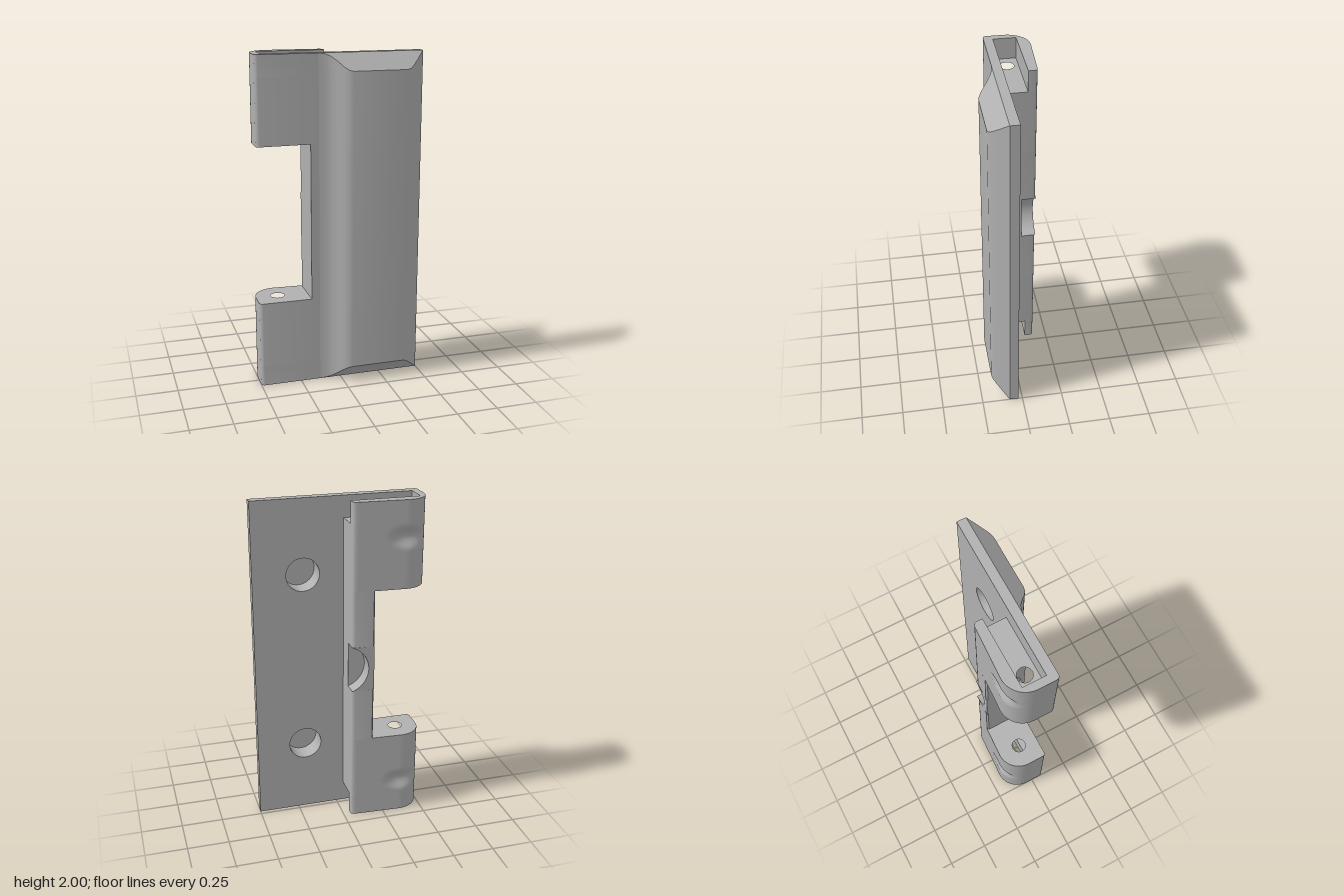
import * as THREE from 'three';
import { toCreasedNormals } from 'three/addons/utils/BufferGeometryUtils.js';

const grey = new THREE.MeshStandardMaterial({ color: 0xb0b0b0 });
grey.name = 'plain grey';
const greyInside = grey.clone();
greyInside.side = THREE.DoubleSide;

const FRONT = 0.08, PLATE_BACK = 0.025, EDGE = -0.045, BAR = -0.18;

// Depth of the gently sloping back face, measured away from the front
const backDepth = (x) => 0.18 - (x + 0.365) * 0.052;

function add(group, name, geometry, material = grey) {
  const mesh = new THREE.Mesh(geometry, material);
  mesh.name = name;
  group.add(mesh);
  return mesh;
}

// Extrude a plan outline (x, -z) upwards from y0 to y1
function upright(shape, y0, y1, steps = 1) {
  const g = new THREE.ExtrudeGeometry(shape, { depth: y1 - y0, steps, bevelEnabled: false, curveSegments: 32 });
  return g.rotateX(-Math.PI / 2).translate(0, y0, 0);
}

// Rounded outer back of a knuckle: from the left wall round to the right edge
function knuckleBack() {
  const pts = [];
  for (let i = 0; i <= 14; i++) {
    const a = Math.PI - (i / 14) * Math.PI / 2;
    pts.push([-0.365 + 0.135 * Math.cos(a), 0.045 + 0.135 * Math.sin(a)]);
  }
  for (let i = 1; i <= 18; i++) {
    const x = -0.365 + (i / 18) * 0.3;
    pts.push([x, backDepth(x)]);
  }
  pts.push([-0.054, 0.161], [-0.047, 0.154], [EDGE, 0.144]);
  return pts;
}

// Left front corner, slightly rounded
const frontCorner = [[-0.48, -FRONT], [-0.491, -0.077], [-0.497, -0.071], [-0.5, -0.06]];

function outline(points) {
  return new THREE.Shape(points.map(([x, y]) => new THREE.Vector2(x, y)));
}

// Shallow thumb-shaped hollow in the back of a knuckle
function dent(geometry, cy) {
  const p = geometry.attributes.position;
  for (let i = 0; i < p.count; i++) {
    if (p.getZ(i) > -0.08) continue;
    const d = ((p.getX(i) + 0.37) / 0.13) ** 2 + ((p.getY(i) - cy) / 0.075) ** 2;
    if (d < 1) p.setZ(i, p.getZ(i) + 0.028 * (1 - d) ** 2);
  }
  return geometry;
}

// Raised front pad: a profile across x, cut off at 45 degrees at both ends
function padGeometry() {
  const profile = [
    [-0.13, 0.08], [-0.09, 0.086], [-0.06, 0.1], [-0.03, 0.125], [0, 0.155], [0.025, 0.172], [0.05, 0.178],
    [0.37, 0.178], [0.395, 0.172], [0.418, 0.155], [0.452, 0.125], [0.478, 0.1], [0.493, 0.086], [0.5, 0.08],
  ];
  const ends = profile.slice(0, 7).map(([, z]) => z - FRONT);
  const rows = [...ends, ...ends.map((e) => 2 - e).reverse()];
  const n = profile.length;
  const pos = [], index = [];
  for (const y of rows) {
    const e = Math.min(y, 2 - y);
    for (const [x, z] of profile) pos.push(x, y, Math.min(z, FRONT + e));
  }
  for (let j = 0; j < rows.length - 1; j++) {
    for (let i = 0; i < n - 1; i++) {
      const a = j * n + i, b = a + 1, c = a + n + 1, d = a + n;
      // Quads are split along the mitre line of the nearest corner
      if ((i < n / 2) === (j < rows.length / 2)) index.push(a, b, c, a, c, d);
      else index.push(a, b, d, b, c, d);
    }
  }
  const g = new THREE.BufferGeometry();
  g.setAttribute('position', new THREE.Float32BufferAttribute(pos, 3));
  g.setIndex(index);
  return toCreasedNormals(g, 0.6);
}

export function createModel() {
  const model = new THREE.Group();
  model.name = 'hinge leaf';
  const screwHeights = [0.45, 1.55];

  // Flat leaf plate with two screw holes
  const plate = outline([[EDGE, 0], [0.5, 0], [0.5, 2], [EDGE, 2]]);
  for (const y of screwHeights) plate.holes.push(new THREE.Path().absarc(0.2, y, 0.1, 0, Math.PI * 2, true));
  const plateGeo = new THREE.ExtrudeGeometry(plate, { depth: FRONT - PLATE_BACK, bevelEnabled: false, curveSegments: 24 });
  add(model, 'leafPlate', toCreasedNormals(plateGeo.translate(0, 0, PLATE_BACK), 0.6));
  add(model, 'frontPad', padGeometry());

  // Blind screw holes opening at the back
  for (const y of screwHeights) {
    const wall = new THREE.CylinderGeometry(0.1, 0.1, 0.125, 48, 1, true).rotateX(Math.PI / 2);
    add(model, 'screwHoleWall', wall, greyInside).position.set(0.2, y, 0.0875);
    const floor = new THREE.CircleGeometry(0.1, 48).rotateY(Math.PI);
    add(model, 'screwHoleFloor', floor).position.set(0.2, y, 0.15);
  }

  // Knuckles with pin hole, each with an open pocket at its outer end
  const solid = outline([...frontCorner, ...knuckleBack(), [EDGE, -FRONT]]);
  solid.holes.push(new THREE.Path().absarc(-0.365, 0.042, 0.042, 0, Math.PI * 2, true));
  const collar = outline([
    ...frontCorner, ...knuckleBack(), [EDGE, 0.11], [-0.455, 0.11],
    [-0.455, -PLATE_BACK], [EDGE, -PLATE_BACK], [EDGE, -FRONT],
  ]);
  const knuckles = [
    { name: 'lower', pocket: [0, 0.13], body: [0.13, 0.53], hollow: 0.215 },
    { name: 'upper', pocket: [1.87, 2], body: [1.48, 1.87], hollow: 1.785 },
  ];
  for (const k of knuckles) {
    add(model, k.name + 'Knuckle', toCreasedNormals(dent(upright(solid, ...k.body, 32), k.hollow), 0.6));
    add(model, k.name + 'PocketWall', toCreasedNormals(upright(collar, ...k.pocket), 0.6));
  }

  // Spine joining the knuckles, with a round clearance cut halfway up
  const spine = outline([
    [BAR, -FRONT], [BAR, 0.16], [-0.172, 0.17], [-0.065, 0.1644],
    [-0.054, 0.161], [-0.047, 0.154], [EDGE, 0.144], [EDGE, -FRONT],
  ]);
  const r = 0.146, half = Math.acos(-EDGE / r), h = r * Math.sin(half);
  for (const [y0, y1] of [[0.53, 1 - h], [1 + h, 1.48]]) {
    add(model, 'spine', toCreasedNormals(upright(spine, y0, y1), 0.6));
  }
  const core = new THREE.BoxGeometry(EDGE - BAR, 2 * h, FRONT + 0.08);
  add(model, 'spineCore', core).position.set((EDGE + BAR) / 2, 1, 0);
  const bite = new THREE.Shape();
  bite.moveTo(BAR, 1 - h);
  bite.lineTo(EDGE, 1 - h);
  bite.absarc(0, 1, r, -(Math.PI - half), -(Math.PI + half), true);
  bite.lineTo(BAR, 1 + h);
  const biteGeo = new THREE.ExtrudeGeometry(bite, { depth: 0.088, bevelEnabled: false, curveSegments: 24 });
  add(model, 'spineClearance', toCreasedNormals(biteGeo.translate(0, 0, -0.168), 0.6));

  return model;
}
